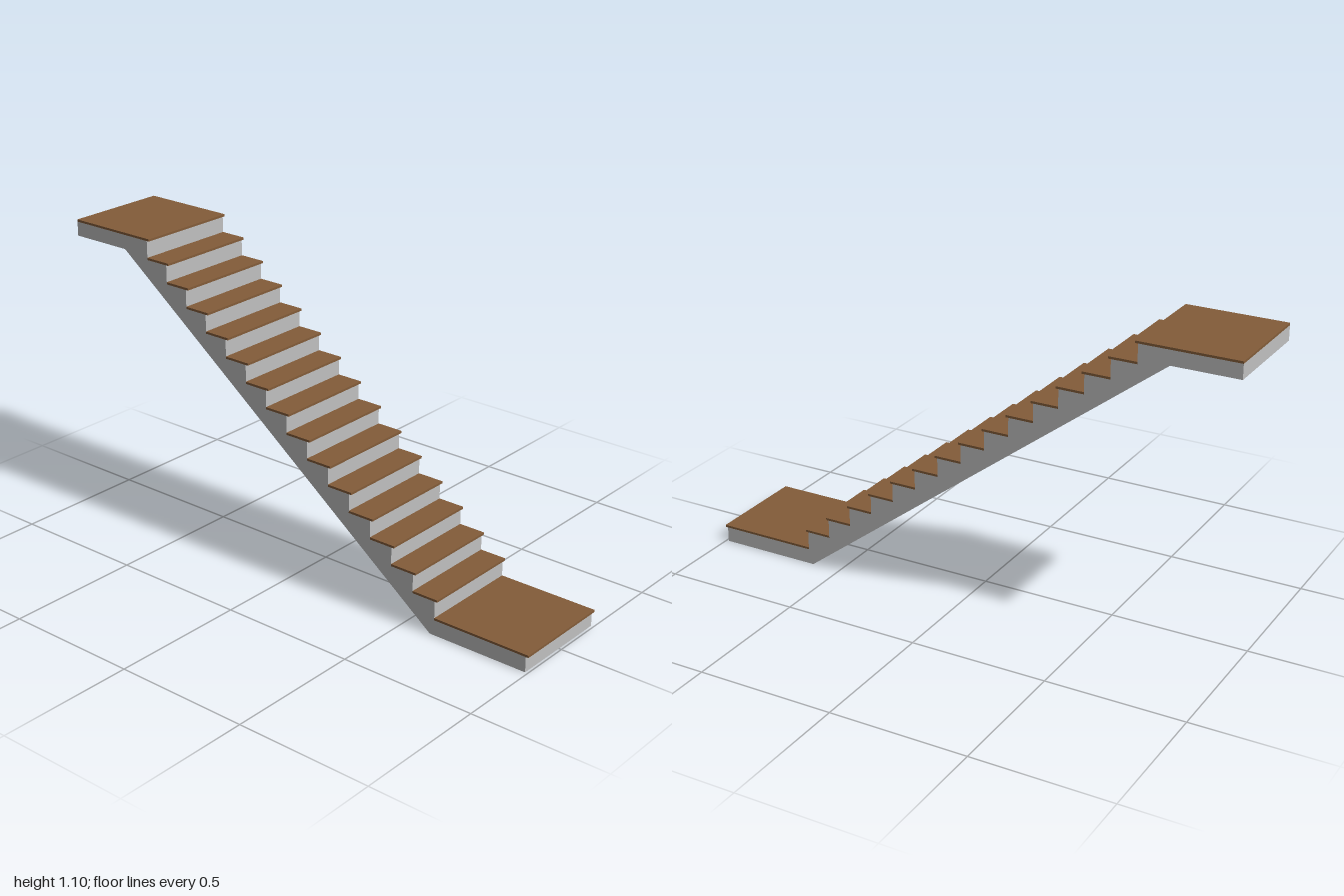
import * as THREE from 'three';

const WIDTH = 0.386;
const STEPS = 15;          // number of risers
const RISE = 0.0691;
const RUN = 0.0912;
const TREAD = 0.008;       // tread thickness
const NOSING = 0.01;       // tread overhang past the riser
const BASE_TOP = 0.056;    // concrete height of the lower landing
const FIRST_RISER = 0.627; // z of the first riser

export function createModel() {
  const group = new THREE.Group();
  group.name = 'staircase';

  const concrete = new THREE.MeshStandardMaterial({ color: 0xc0c0c0 });
  concrete.name = 'concrete';
  const wood = new THREE.MeshStandardMaterial({ color: 0x835c39 });
  wood.name = 'wood';

  const riserZ = (i) => FIRST_RISER - i * RUN;
  const levelY = (i) => BASE_TOP + i * RISE;

  // Concrete body: stepped side profile drawn as (-z, y), extruded across the width
  const profile = new THREE.Shape();
  profile.moveTo(-0.99, 0);
  profile.lineTo(-0.61, 0);
  profile.lineTo(0.76, 1.04);
  profile.lineTo(1, 1.04);
  profile.lineTo(1, levelY(STEPS));
  for (let i = STEPS - 1; i >= 0; i--) {
    profile.lineTo(-riserZ(i), levelY(i + 1));
    profile.lineTo(-riserZ(i), levelY(i));
  }
  profile.lineTo(-0.99, BASE_TOP);
  profile.closePath();

  const bodyGeometry = new THREE.ExtrudeGeometry(profile, { depth: WIDTH, bevelEnabled: false });
  bodyGeometry.rotateY(Math.PI / 2);
  bodyGeometry.translate(-WIDTH / 2, 0, 0);
  const body = new THREE.Mesh(bodyGeometry, concrete);
  body.name = 'stairBody';
  group.add(body);

  // Wooden boards: both landings and every step between them
  for (let i = 0; i <= STEPS; i++) {
    const front = i === 0 ? 1 : riserZ(i - 1) + NOSING;
    const back = i === STEPS ? -1 : riserZ(i);
    const board = new THREE.Mesh(new THREE.BoxGeometry(WIDTH, TREAD, front - back), wood);
    board.position.set(0, levelY(i) + TREAD / 2, (front + back) / 2);
    board.name = i === 0 ? 'lowerLandingBoard' : i === STEPS ? 'upperLandingBoard' : `tread${i}`;
    group.add(board);
  }

  return group;
}
